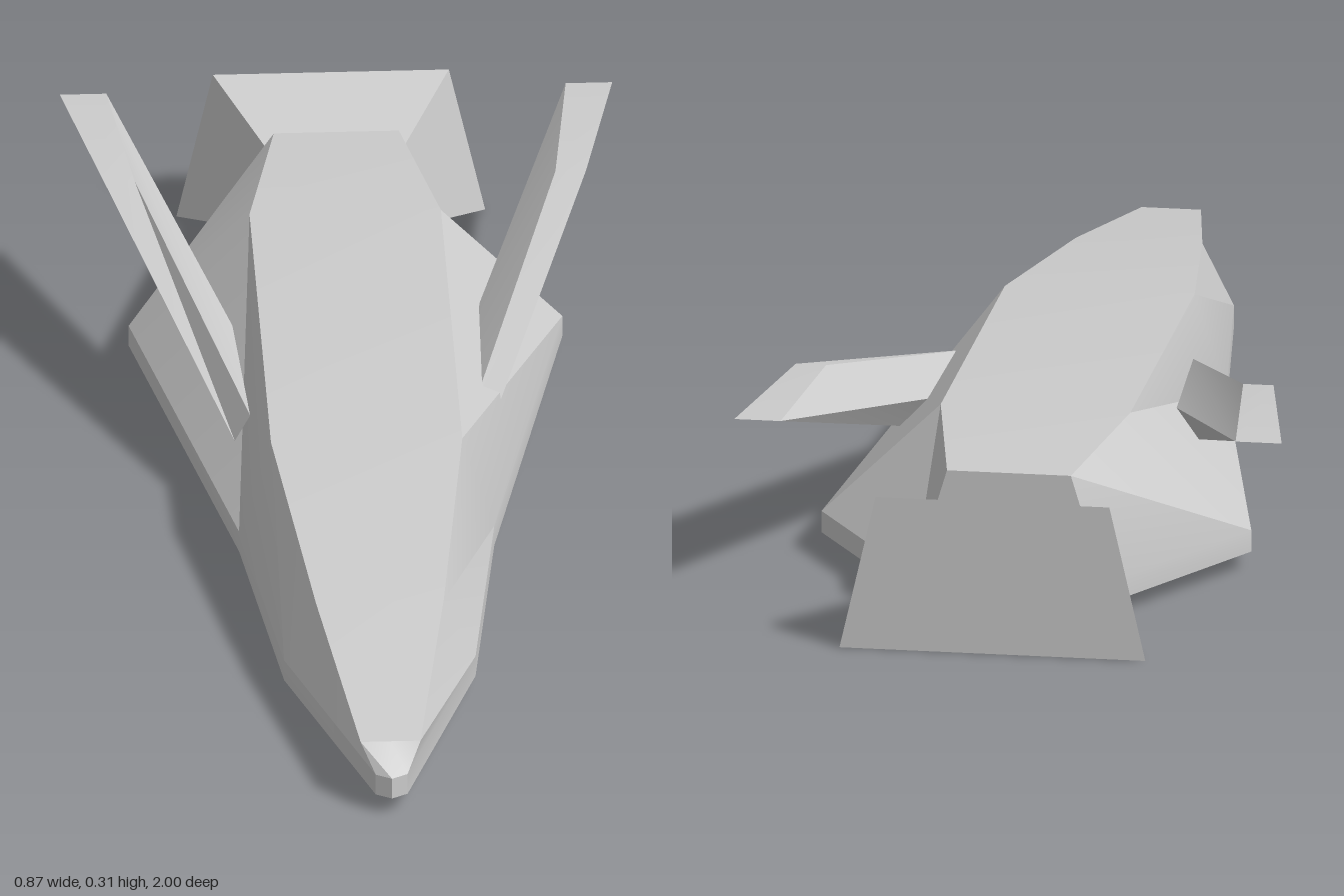
import * as THREE from 'three';
import { toCreasedNormals } from 'three/addons/utils/BufferGeometryUtils.js';

const material = new THREE.MeshStandardMaterial({ color: 0xcccccc });

// Skin closed rings of points; rings run clockwise when looking along the loft.
function loft(name, rings, capped) {
  const n = rings[0].length;
  const position = rings.flat(2);
  const index = [];
  for (let i = 0; i < rings.length - 1; i++) {
    for (let j = 0; j < n; j++) {
      const k = (j + 1) % n;
      const a = i * n + j, b = i * n + k, c = b + n, d = a + n;
      index.push(a, b, c, a, c, d);
    }
  }
  if (capped) {
    const last = (rings.length - 1) * n;
    for (let j = 1; j < n - 1; j++) {
      index.push(0, j + 1, j, last, last + j, last + j + 1);
    }
  }
  const geometry = new THREE.BufferGeometry();
  geometry.setAttribute('position', new THREE.Float32BufferAttribute(position, 3));
  geometry.setIndex(index);
  const mesh = new THREE.Mesh(toCreasedNormals(geometry, 0.4), material);
  mesh.name = name;
  return mesh;
}

const mirrorX = (points) => points.map(([x, y, z]) => [-x, y, z]).reverse();

// Hull cross-section: sloped side, vertical rim, flange and recessed belly.
function hullRing([rimX, rimZ, topX, topY, topZ]) {
  const inX = rimX * 0.92, inZ = rimZ * 0.975;
  const half = [
    [topX, topY, topZ],
    [rimX, 0.065, rimZ],
    [rimX, 0.03, rimZ],
    [inX, 0.03, inZ],
    [inX, 0.06, inZ],
  ];
  return [...half, ...mirrorX(half)];
}

// Trapezoid ring, wider at the bottom.
function trapezoid(topX, bottomX, topY, bottomY, z) {
  const half = [[topX, topY, z], [bottomX, bottomY, z]];
  return [...half, ...mirrorX(half)];
}

export function createModel() {
  const model = new THREE.Group();
  model.name = 'spacecraft';

  // Hull stations from nose to tail; the first and last close the ends.
  const stations = [
    [0, 1, 0, 0.105, 0.95],
    [0.025, 0.985, 0.047, 0.105, 0.95],
    [0.15, 0.6, 0.1, 0.165, 0.6],
    [0.2, 0.17, 0.15, 0.222, 0.17],
    [0.34, -0.52, 0.15, 0.253, -0.53],
    [0.15, -0.82, 0.098, 0.24, -0.82],
    [0, -0.82, 0, 0.24, -0.82],
  ];
  model.add(loft('hull', stations.map(hullRing), false));

  // Flared engine nozzle behind the hull
  model.add(loft('engineNozzle', [
    trapezoid(0.092, 0.115, 0.188, 0.07, -0.815),
    trapezoid(0.185, 0.242, 0.25, 0, -1),
  ], true));

  // Swept fins, with the root carried a little way into the hull
  const tip = [[0.33, 0.312, -0.54], [0.378, 0.312, -0.54], [0.433, 0.312, -0.83], [0.36, 0.312, -0.83]];
  const root = [[0.18, 0.18, -0.03], [0.205, 0.137, -0.03], [0.233, 0.145, -0.32], [0.195, 0.19, -0.31]]
    .map((p, i) => p.map((v, k) => v - 0.04 * (tip[i][k] - v)));
  model.add(loft('leftFin', [root, tip], true));
  model.add(loft('rightFin', [mirrorX(root), mirrorX(tip)], true));

  return model;
}
